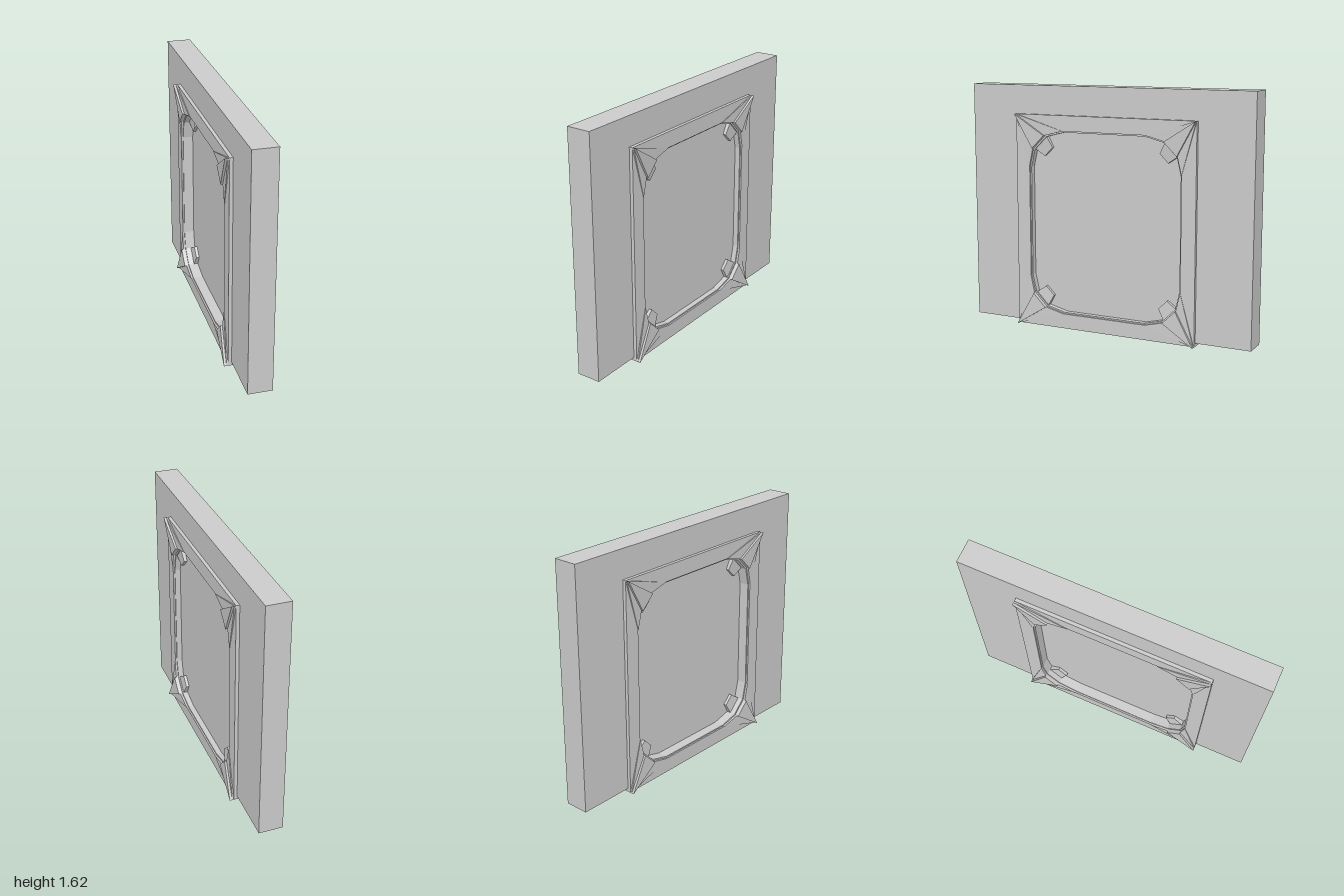
import * as THREE from 'three';
import { ConvexGeometry } from 'three/addons/geometries/ConvexGeometry.js';

const material = new THREE.MeshStandardMaterial({ color: 0xcccccc, flatShading: true });
const CZ = 0.0125, CY = 0.715; // centre of the window (z, y)

// Profiles are given in (z, y) and extruded across x, centred on x = 0
function plate(name, outline, holes, halfDepth) {
  const toPts = (a) => a.map(([z, y]) => new THREE.Vector2(z, y));
  const shape = new THREE.Shape(toPts(outline));
  holes.forEach((h) => shape.holes.push(new THREE.Path(toPts(h))));
  const g = new THREE.ExtrudeGeometry(shape, { depth: halfDepth * 2, bevelEnabled: false });
  g.translate(0, 0, -halfDepth);
  g.rotateY(-Math.PI / 2);
  const mesh = new THREE.Mesh(g, material);
  mesh.name = name;
  return mesh;
}

// Prism across x; each corner [z, y, xBack, xFront] has its own heights
function prism(name, corners) {
  const pts = corners.flatMap(([z, y, a, b]) => [new THREE.Vector3(a, y, z), new THREE.Vector3(b, y, z)]);
  const mesh = new THREE.Mesh(new ConvexGeometry(pts), material);
  mesh.name = name;
  return mesh;
}

// Opening corner, measured from the window centre
const corner = [[0.545, 0.372], [0.517, 0.492], [0.428, 0.58], [0.295, 0.613]];
const outer = [0.6425, 0.715];

// Whole opening, shrunk by an inset
function opening(inset) {
  const pts = [];
  for (const [sz, sy] of [[1, 1], [-1, 1], [-1, -1], [1, -1]]) {
    const c = sz * sy > 0 ? corner : [...corner].reverse();
    for (const [z, y] of c) {
      pts.push([CZ + sz * z * (1 - inset / 0.545), CY + sy * y * (1 - inset / 0.613)]);
    }
  }
  return pts;
}

export function createModel() {
  const model = new THREE.Group();

  // Wall notched to receive the frame
  const z0 = CZ - outer[0], z1 = CZ + outer[0];
  model.add(plate('wall', [
    [-1, 0.022], [z0, 0.022], [z0, 1.43], [z1, 1.43], [z1, 0.022], [1, 0.022], [1, 1.62], [-1, 1.62],
  ], [], 0.08));

  // Frame running through the wall, with a thin inner lip
  model.add(plate('frame', [[z0, 0.003], [z1, 0.003], [z1, 1.43], [z0, 1.43]], [opening(0)], 0.1025));
  model.add(plate('innerLip', opening(-0.004), [opening(0.009)], 0.092));

  // Recessed pane, set off-centre in the wall
  const pane = plate('pane', opening(-0.004), [], 0.04);
  pane.position.x = 0.015;
  model.add(pane);

  // Raised corner pieces and the small tabs on the pane
  for (const sz of [1, -1]) {
    for (const sy of [1, -1]) {
      const group = new THREE.Group();
      group.name = 'corner';
      const at = ([z, y], h, back = -h) => [CZ + sz * z, CY + sy * y, back, h];
      const [v1, v2, v3, v4] = corner;
      group.add(prism('cornerSpike', [at(outer, 0.13), at(v2, 0.12), at(v3, 0.12)]));
      group.add(prism('sideFacet', [at(outer, 0.113), at(v1, 0.105), at(v2, 0.107)]));
      group.add(prism('topFacet', [at(outer, 0.113), at(v4, 0.105), at(v3, 0.107)]));
      group.add(prism('tab', [
        at(v2, 0.085, -0.055), at(v3, 0.085, -0.055),
        at([0.384, 0.5], 0.075, -0.045), at([0.443, 0.442], 0.075, -0.045),
      ]));
      model.add(group);
    }
  }
  return model;
}
